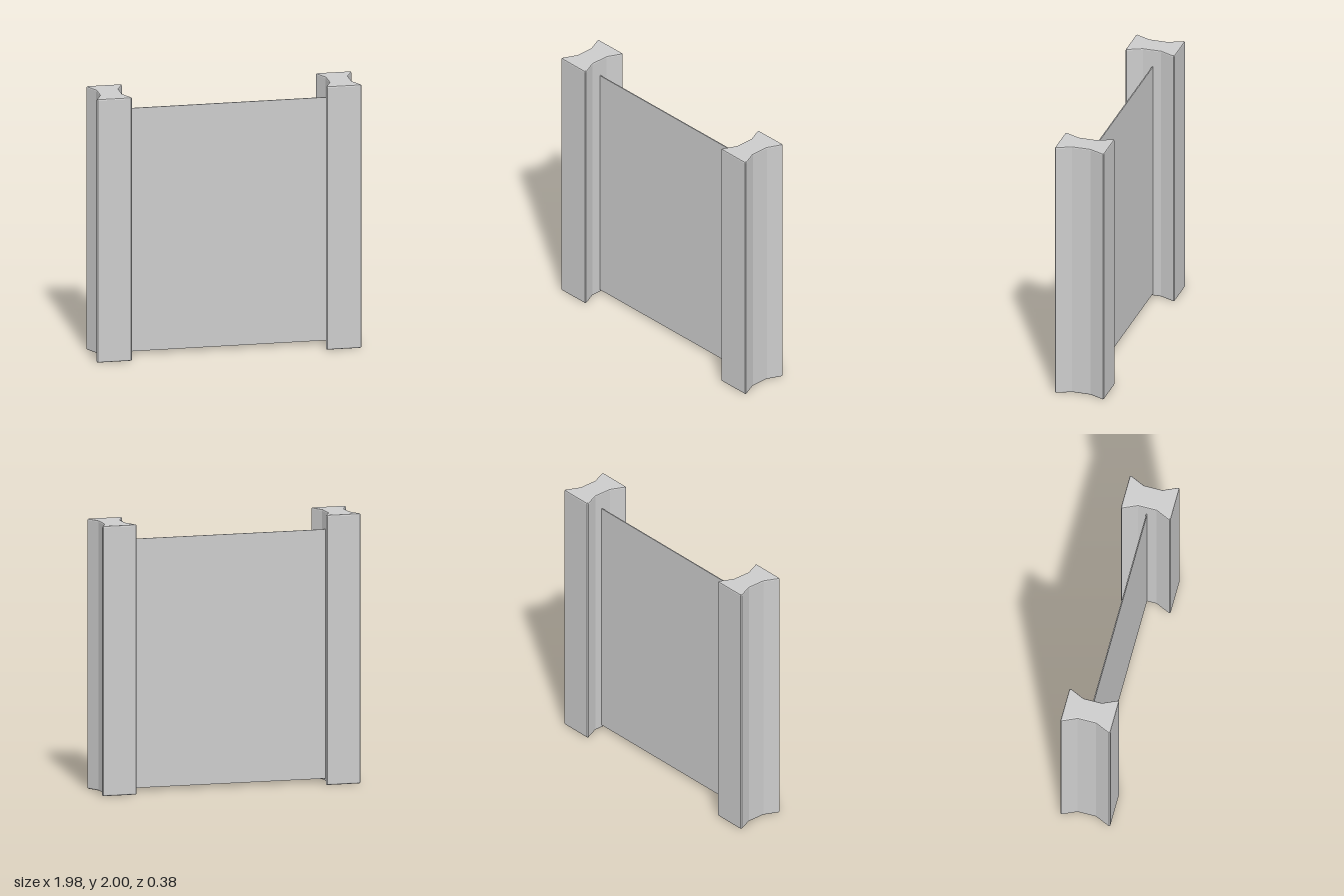
import * as THREE from 'three';

const HEIGHT = 2;
const BEVEL = 0.01;

// Waisted post: wide front and back faces, tapering to a narrow flat waist
function postGeometry() {
  const quarter = [[0.083, 0.07], [0.13, 0.174], [0.132, 0.181], [0.125, 0.188]];
  const mirrored = [...quarter].reverse();
  const outline = [
    ...quarter,
    ...mirrored.map(([x, z]) => [-x, z]),
    ...quarter.map(([x, z]) => [-x, -z]),
    ...mirrored.map(([x, z]) => [x, -z]),
  ].map(([x, z]) => new THREE.Vector2(x, z));
  const geometry = new THREE.ExtrudeGeometry(new THREE.Shape(outline), {
    depth: HEIGHT - 2 * BEVEL,
    bevelEnabled: true,
    bevelThickness: BEVEL,
    bevelSize: BEVEL,
    bevelOffset: -BEVEL,
    bevelSegments: 2,
  });
  geometry.rotateX(-Math.PI / 2);
  geometry.translate(0, BEVEL, 0);
  return geometry;
}

export function createModel() {
  const model = new THREE.Group();
  const material = new THREE.MeshStandardMaterial({ color: 0xcccccc });

  // Two upright posts
  const geometry = postGeometry();
  for (const [name, side] of [['leftPost', 1], ['rightPost', -1]]) {
    const post = new THREE.Mesh(geometry, material);
    post.name = name;
    post.position.x = side * 0.857;
    model.add(post);
  }

  // Thin panel spanning between the waists
  const bottom = 0.02, top = 1.865;
  const panel = new THREE.Mesh(new THREE.BoxGeometry(1.55, top - bottom, 0.008), material);
  panel.name = 'panel';
  panel.position.set(0, (bottom + top) / 2, -0.005);
  model.add(panel);

  return model;
}
